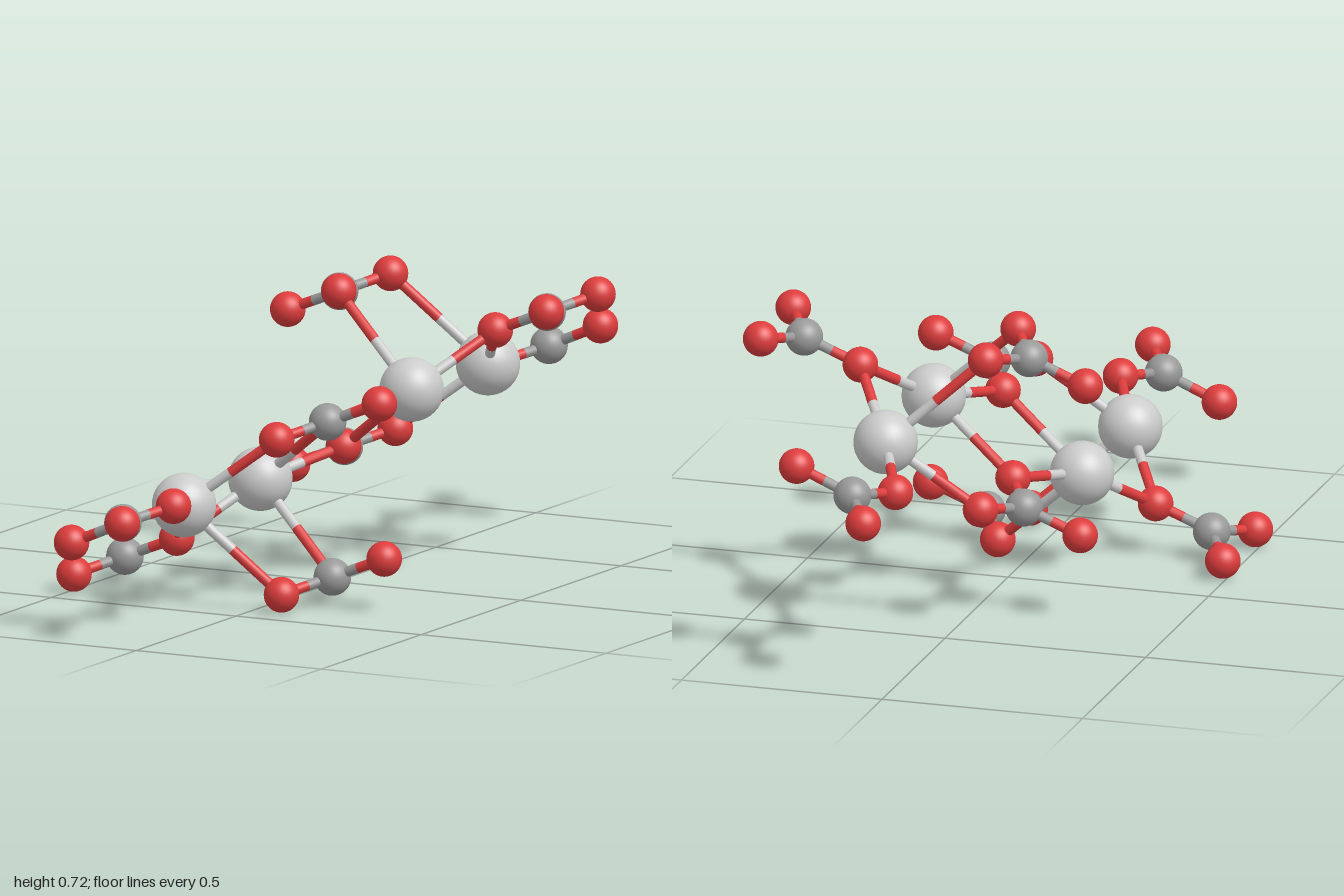
import * as THREE from 'three';

const MID_Y = 0.357, PAIR_Z = 0.277, BOND_R = 0.0125;

const kinds = {
  metal: { radius: 0.077, color: 0xcccccc },
  carbon: { radius: 0.045, color: 0x999999 },
  oxygen: { radius: 0.0425, color: 0xdd3c3c },
};
for (const [name, kind] of Object.entries(kinds)) {
  kind.name = name;
  kind.material = new THREE.MeshStandardMaterial({ color: kind.color });
  kind.geometry = new THREE.SphereGeometry(kind.radius, 32, 20);
}

function addAtom(group, kind, x, y, z) {
  const mesh = new THREE.Mesh(kind.geometry, kind.material);
  mesh.name = kind.name + 'Atom';
  mesh.position.set(x, y, z);
  group.add(mesh);
  return { kind, pos: mesh.position };
}

// A bond is two half rods, each in the colour of its nearer atom
function addBond(group, a, b) {
  const middle = a.pos.clone().lerp(b.pos, 0.5);
  for (const end of [a, b]) {
    const dir = middle.clone().sub(end.pos);
    const rod = new THREE.Mesh(
      new THREE.CylinderGeometry(BOND_R, BOND_R, dir.length(), 12), end.kind.material);
    rod.name = end.kind.name + 'HalfBond';
    rod.position.copy(end.pos).addScaledVector(dir, 0.5);
    rod.quaternion.setFromUnitVectors(new THREE.Vector3(0, 1, 0), dir.normalize());
    group.add(rod);
  }
}

// Half of the cluster; s = -1 gives its point reflection through the centre
function buildHalf(root, s) {
  const half = new THREE.Group();
  half.name = s > 0 ? 'upperHalf' : 'lowerHalf';
  root.add(half);
  const atom = (group, kind, x, y, z) =>
    addAtom(group, kinds[kind], s * x, MID_Y + s * (y - MID_Y), s * z);

  // Planar group: one carbon with three oxygens
  const trigonal = (name, carbon, oxygens) => {
    const group = new THREE.Group();
    group.name = name;
    half.add(group);
    const c = atom(group, 'carbon', ...carbon);
    return oxygens.map((p) => {
      const o = atom(group, 'oxygen', ...p);
      addBond(group, c, o);
      return o;
    });
  };

  // Side groups lie symmetrically about the plane between the two metals;
  // they return [inner oxygen, outer oxygen, middle oxygen]
  const side = (name, x, y) => trigonal(name, [x, y, -PAIR_Z], [
    [x + 0.068, y + 0.028, -PAIR_Z + 0.129],
    [x + 0.068, y + 0.028, -PAIR_Z - 0.129],
    [x - 0.14, y - 0.056, -PAIR_Z],
  ]);

  const inner = atom(half, 'metal', 0.158, 0.465, -0.086);
  const outer = atom(half, 'metal', 0.158, 0.465, -0.468);
  const top = side('topGroup', -0.14, 0.644);
  const flank = side('flankGroup', 0.421, 0.644);
  const link = side('linkingGroup', -0.127, 0.27);
  const end = trigonal('endGroup', [0.127, 0.445, -0.831], [
    [0.06, 0.42, -0.702], [0.06, 0.42, -0.958], [0.266, 0.505, -0.831],
  ]);

  for (const o of [top[0], flank[2], link[0]]) addBond(half, inner, o);
  for (const o of [top[1], flank[2], link[1], end[0]]) addBond(half, outer, o);
  return { inner, linkOxygen: link[0] };
}

export function createModel() {
  const root = new THREE.Group();
  root.name = 'molecule';
  const a = buildHalf(root, 1);
  const b = buildHalf(root, -1);
  // Bonds joining the two halves
  addBond(root, a.inner, b.linkOxygen);
  addBond(root, b.inner, a.linkOxygen);
  return root;
}
